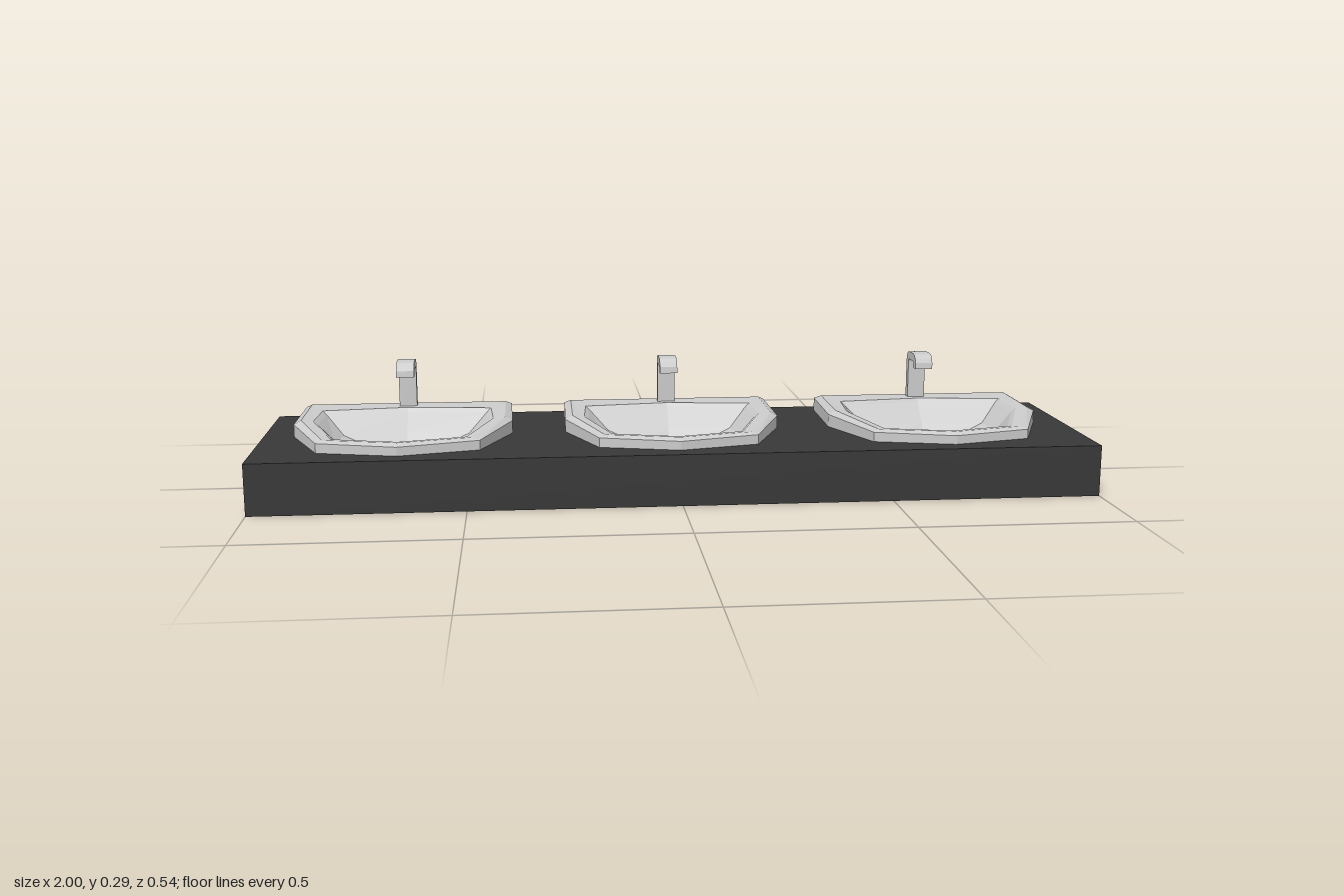
import * as THREE from 'three';

const grey = new THREE.MeshStandardMaterial({ color: 0xcccccc, flatShading: true, side: THREE.DoubleSide });
const dark = new THREE.MeshStandardMaterial({ color: 0x383838, flatShading: true, side: THREE.DoubleSide });

const WIDTH = 2, DEPTH = 0.54, TOP = 0.123;
const BASIN_X = [-0.66, 0, 0.66];

// Half outlines run from the front tip round the left side to the middle of the back: [x, y, z]
const SKIRT = [[0, 0.005, 0.223], [0.19, 0.005, 0.175], [0.265, 0.005, -0.01], [0.262, 0.005, -0.225], [0, 0.005, -0.225]];
const SHOULDER = [[0, 0.144, 0.223], [0.19, 0.146, 0.175], [0.265, 0.154, -0.01], [0.262, 0.156, -0.221], [0, 0.156, -0.221]];
const RIM = [[0, 0.151, 0.208], [0.176, 0.151, 0.163], [0.247, 0.164, -0.01], [0.246, 0.165, -0.205], [0, 0.165, -0.205]];
const LIP = [[0, 0.149, 0.188], [0.158, 0.149, 0.145], [0.218, 0.161, -0.01], [0.21, 0.163, -0.13], [0, 0.163, -0.156]];
const MOUTH = [[0, 0.142, 0.18], [0.15, 0.142, 0.138], [0.207, 0.152, -0.012], [0.2, 0.154, -0.124], [0, 0.154, -0.15]];
const FLOOR = [[0, 0.108, 0.162], [0.118, 0.108, 0.128], [0.168, 0.108, -0.005], [0.155, 0.108, -0.085], [0, 0.108, -0.105]];
const BOWL = [[0, 0.08, 0.085], [0.065, 0.08, 0.065], [0.1, 0.08, -0.01], [0.085, 0.08, -0.065], [0, 0.08, -0.08]];
const DRAIN = [0, 1, 2, 3, 4].map(i => {
  const a = i * Math.PI / 4;
  return [0.024 * Math.sin(a), 0.058, -0.037 + 0.021 * Math.cos(a)];
});

// Completes a half outline by mirroring it across x = 0
const fullRing = half => [...half, ...half.slice(1, -1).reverse().map(([x, y, z]) => [-x, y, z])];

// Faceted surface through a list of closed rings
function skin(halves) {
  const rings = halves.map(fullRing);
  const pos = [];
  for (let r = 0; r < rings.length - 1; r++) {
    const a = rings[r], b = rings[r + 1], n = a.length;
    for (let i = 0; i < n; i++) {
      const j = (i + 1) % n;
      pos.push(...a[i], ...a[j], ...b[j], ...a[i], ...b[j], ...b[i]);
    }
  }
  const geo = new THREE.BufferGeometry();
  geo.setAttribute('position', new THREE.Float32BufferAttribute(pos, 3));
  geo.computeVertexNormals();
  return geo;
}

function add(parent, name, geo, material) {
  const mesh = new THREE.Mesh(geo, material);
  mesh.name = name;
  parent.add(mesh);
  return mesh;
}

// Flat hooked strip, drawn in side profile (u = -z) and extruded across x
function faucetGeometry() {
  const s = new THREE.Shape();
  s.moveTo(0.192, 0.155);
  s.lineTo(0.192, 0.255);
  s.quadraticCurveTo(0.192, 0.286, 0.164, 0.286);
  s.lineTo(0.126, 0.286);
  s.quadraticCurveTo(0.098, 0.286, 0.098, 0.25);
  s.lineTo(0.119, 0.25);
  s.lineTo(0.119, 0.259);
  s.quadraticCurveTo(0.119, 0.266, 0.127, 0.266);
  s.lineTo(0.164, 0.266);
  s.quadraticCurveTo(0.172, 0.266, 0.172, 0.257);
  s.lineTo(0.172, 0.155);
  s.closePath();
  const geo = new THREE.ExtrudeGeometry(s, { depth: 0.044, bevelEnabled: false, curveSegments: 4 });
  return geo.translate(0, 0, -0.022).rotateY(Math.PI / 2);
}

// Open-bottomed counter with a cut-out for each bowl
function createCounter() {
  const g = new THREE.Group();
  g.name = 'counter';
  const w = WIDTH / 2, d = DEPTH / 2;
  const s = new THREE.Shape([[-w, -d], [w, -d], [w, d], [-w, d]].map(p => new THREE.Vector2(...p)));
  for (const x of BASIN_X) {
    s.holes.push(new THREE.Path(fullRing(MOUTH).map(p => new THREE.Vector2(x + p[0], -p[2]))));
  }
  add(g, 'counterTop', new THREE.ShapeGeometry(s).rotateX(-Math.PI / 2).translate(0, TOP, 0), dark);
  ['front', 'left', 'back', 'right'].forEach((side, i) => {
    const [len, off] = i % 2 ? [DEPTH, w] : [WIDTH, d];
    const geo = new THREE.PlaneGeometry(len, TOP).translate(0, TOP / 2, off).rotateY(i * Math.PI / 2);
    add(g, side + 'Panel', geo, dark);
  });
  return g;
}

export function createModel() {
  const model = new THREE.Group();
  model.name = 'tripleWashbasin';
  model.add(createCounter());

  const basin = skin([SKIRT, SHOULDER, RIM, LIP, MOUTH, FLOOR, BOWL, DRAIN]);
  const faucet = faucetGeometry();
  for (const x of BASIN_X) {
    const unit = new THREE.Group();
    unit.name = 'washbasin';
    unit.position.x = x;
    add(unit, 'basin', basin, grey);
    add(unit, 'faucet', faucet, grey);
    model.add(unit);
  }
  return model;
}
